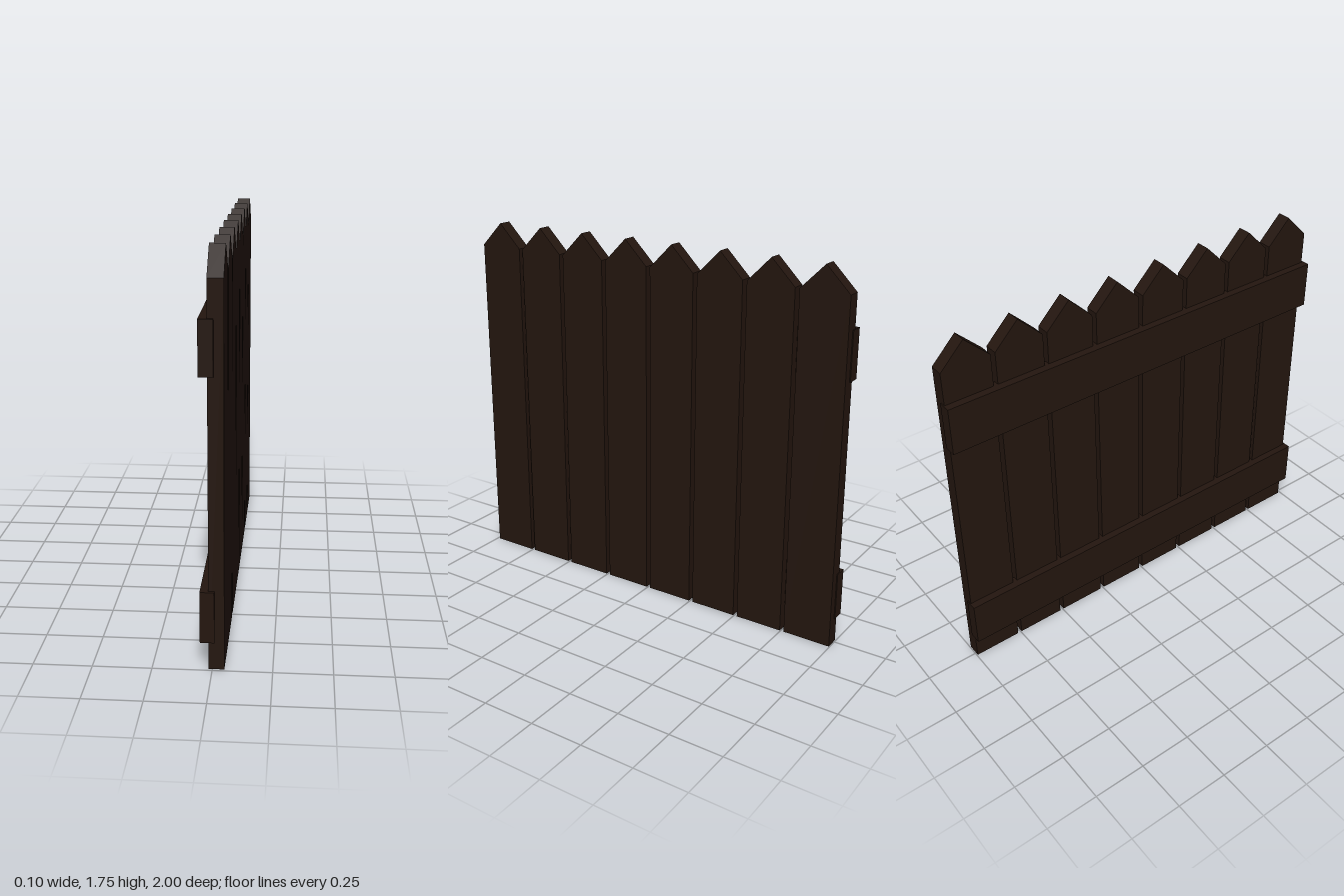
import * as THREE from 'three';

export function createModel() {
  const fence = new THREE.Group();
  fence.name = 'picketFence';
  const wood = new THREE.MeshStandardMaterial({ color: 0x24160f, flatShading: true });

  // Pointed picket outline, extruded through its thickness and turned to face +x
  const half = 0.115, shoulder = 1.63, peak = 1.745;
  const outline = new THREE.Shape([
    new THREE.Vector2(-half, 0),
    new THREE.Vector2(half, 0),
    new THREE.Vector2(half, shoulder),
    new THREE.Vector2(0, peak),
    new THREE.Vector2(-half, shoulder),
  ]);
  const picketGeometry = new THREE.ExtrudeGeometry(outline, { depth: 0.065, bevelEnabled: false });
  picketGeometry.rotateY(Math.PI / 2);

  // Row of eight pickets
  for (let i = 0; i < 8; i++) {
    const picket = new THREE.Mesh(picketGeometry, wood);
    picket.name = `picket${i + 1}`;
    picket.position.set(-0.015, 0, 0.873 - i * 0.2505);
    fence.add(picket);
  }

  // Two rails behind, let slightly into the pickets
  const railGeometry = new THREE.BoxGeometry(0.06, 0.226, 2);
  for (const [name, y] of [['lowerRail', 0.238], ['upperRail', 1.363]]) {
    const rail = new THREE.Mesh(railGeometry, wood);
    rail.name = name;
    rail.position.set(-0.02, y, 0);
    fence.add(rail);
  }

  return fence;
}
